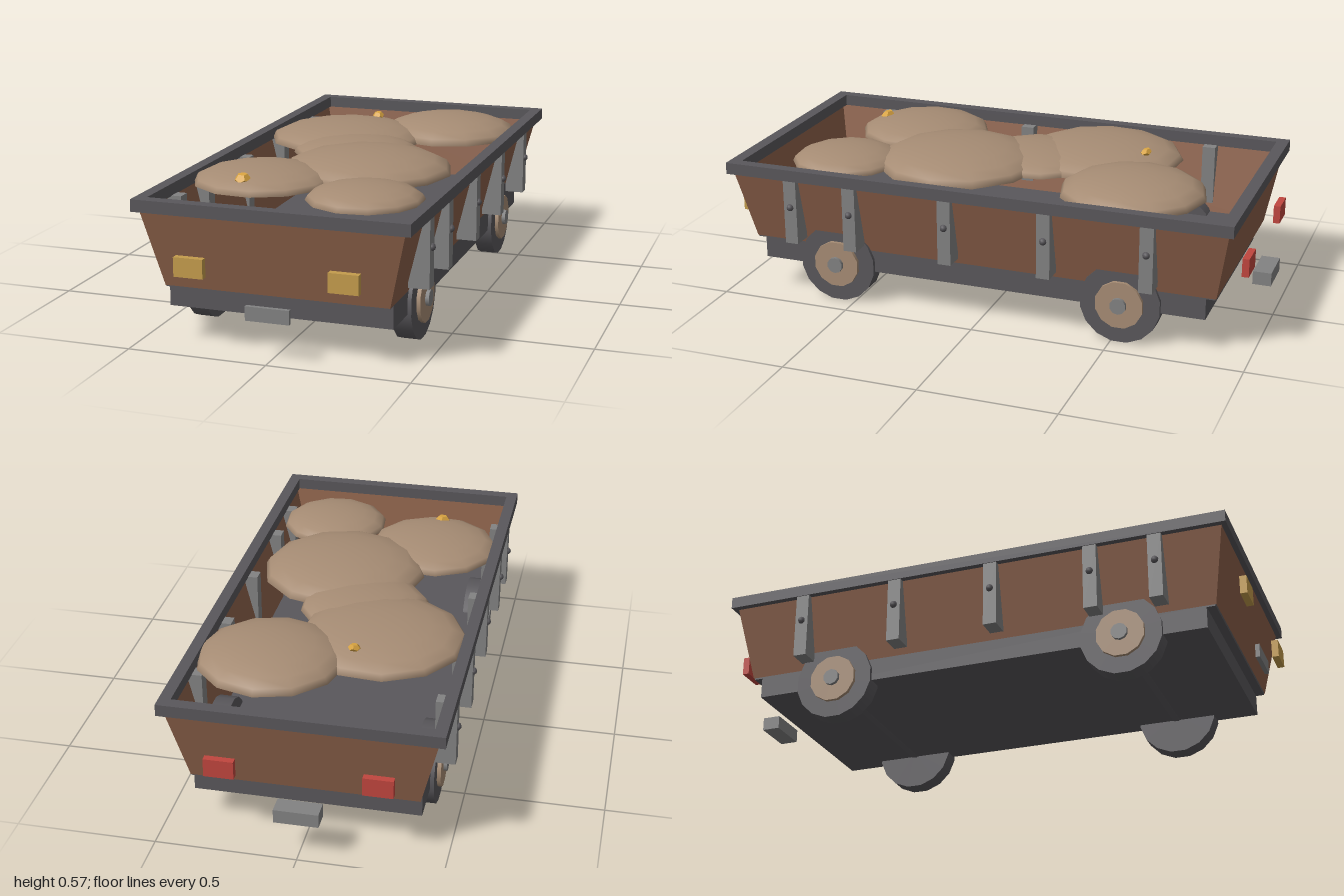
import * as THREE from 'three';

const mat = (name, color) => {
  const m = new THREE.MeshStandardMaterial({ color });
  m.name = name;
  return m;
};

export function createModel() {
  const iron = mat('dark iron', 0x59575b);
  const steel = mat('grey steel', 0x828282);
  const rust = mat('rusty brown', 0x8b6049);
  const sand = mat('sandy ore', 0xa68c74);
  const hubTan = mat('hub tan', 0xa68c74);
  const lampYellow = mat('lamp yellow', 0xc49c4c);
  const lampRed = mat('lamp red', 0xc0463e);
  const gold = mat('gold', 0xd9a441);
  rust.side = sand.side = THREE.DoubleSide;

  const model = new THREE.Group();
  model.name = 'oreWagon';
  const CZ = 0.016; // middle of the body along z

  const add = (name, geo, material, x = 0, y = 0, z = 0) => {
    const mesh = new THREE.Mesh(geo, material);
    mesh.name = name;
    mesh.position.set(x, y, z);
    model.add(mesh);
    return mesh;
  };
  // Box given by its limits
  const box = (name, material, x0, x1, y0, y1, z0, z1) =>
    add(name, new THREE.BoxGeometry(x1 - x0, y1 - y0, z1 - z0), material,
      (x0 + x1) / 2, (y0 + y1) / 2, (z0 + z1) / 2);

  // Chassis and floor
  box('chassis', iron, -0.4, 0.4, 0.127, 0.21, -0.836, 0.87);
  box('floor', iron, -0.398, 0.398, 0.205, 0.22, CZ - 0.885, CZ + 0.885);

  // Flared side walls, one sheet per side
  const bottom = [0.4, 0.21, 0.888];
  const top = [0.469, 0.495, 0.94];
  const signs = [[-1, 1], [1, 1], [1, -1], [-1, -1]];
  ['frontWall', 'leftWall', 'backWall', 'rightWall'].forEach((name, i) => {
    const a = signs[i], b = signs[(i + 1) % 4];
    const p = (s, l) => [s[0] * l[0], l[1], CZ + s[1] * l[2]];
    const geo = new THREE.BufferGeometry();
    geo.setAttribute('position', new THREE.Float32BufferAttribute(
      [p(a, bottom), p(b, bottom), p(b, top), p(a, top)].flat(), 3));
    geo.setIndex([0, 1, 2, 0, 2, 3]);
    geo.computeVertexNormals();
    add(name, geo, rust);
  });

  // Top rim as an extruded frame
  const rect = (path, w, l) => path.moveTo(-w, -l).lineTo(w, -l).lineTo(w, l).lineTo(-w, l).closePath();
  const rimShape = rect(new THREE.Shape(), 0.488, 0.956);
  rimShape.holes.push(rect(new THREE.Path(), 0.446, 0.911));
  const rimGeo = new THREE.ExtrudeGeometry(rimShape, { depth: 0.043, bevelEnabled: false });
  rimGeo.rotateX(-Math.PI / 2);
  add('rim', rimGeo, iron, 0, 0.477, CZ);

  // Posts with bolts, both sides
  for (const s of [-1, 1]) {
    for (const z of [0.716, 0.48, 0.107, -0.267, -0.64]) {
      add('post', new THREE.BoxGeometry(0.075, 0.246, 0.05), steel, s * 0.4475, 0.356, z);
      add('bolt', new THREE.SphereGeometry(0.014, 8, 6), iron, s * 0.484, 0.375, z);
    }
  }

  // Wheels: tyre, hub disc and cap on a shared axle
  const disc = (name, r, x0, x1, n, material, s, z) => {
    const geo = new THREE.CylinderGeometry(r, r, x1 - x0, n);
    geo.rotateY(Math.PI / n);
    geo.rotateZ(Math.PI / 2);
    add(name, geo, material, s * (x0 + x1) / 2, 0.147, z);
  };
  for (const z of [0.567, -0.53]) {
    disc('axle', 0.025, -0.35, 0.35, 8, iron, 1, z);
    for (const s of [-1, 1]) {
      disc('tyre', 0.149, 0.345, 0.414, 16, iron, s, z);
      disc('hub', 0.089, 0.38, 0.428, 12, hubTan, s, z);
      disc('hubCap', 0.03, 0.4, 0.441, 10, steel, s, z);
    }
  }

  // Lamps, front plate and rear coupling
  for (const x of [-0.272, 0.272]) {
    add('frontLamp', new THREE.BoxGeometry(0.105, 0.068, 0.025), lampYellow, x, 0.309, 0.987);
    add('rearLamp', new THREE.BoxGeometry(0.105, 0.068, 0.025), lampRed, x, 0.309, -0.953);
  }
  box('frontPlate', steel, -0.078, 0.078, 0.143, 0.193, 0.967, 0.983);
  box('rearCoupling', steel, -0.078, 0.078, 0.146, 0.196, -1, -0.932);

  // Flattened mounds of ore: x, z, radius, height
  const mounds = [
    [0.2, -0.51, 0.268, 0.077],
    [-0.155, -0.29, 0.305, 0.069],
    [-0.045, -0.07, 0.24, 0.056],
    [0.09, 0.2, 0.312, 0.08],
    [-0.215, 0.465, 0.252, 0.062],
    [0.215, 0.605, 0.207, 0.058],
  ];
  mounds.forEach(([x, z, r, h], i) => {
    const geo = new THREE.SphereGeometry(1, 12, 5, 0, Math.PI * 2, 0, Math.PI / 2);
    geo.rotateY(i * 0.7);
    geo.scale(r, h, r);
    add('oreMound', geo, sand, x, 0.487, z);
  });

  // Gold nuggets
  for (const [x, y, z, r] of [[-0.224, 0.529, 0.635, 0.029], [-0.09, 0.543, -0.475, 0.023]]) {
    const nugget = add('nugget', new THREE.DodecahedronGeometry(r), gold, x, y, z);
    nugget.scale.y = 0.75;
    nugget.rotation.set(0.55, 0, 0);
  }
  return model;
}
